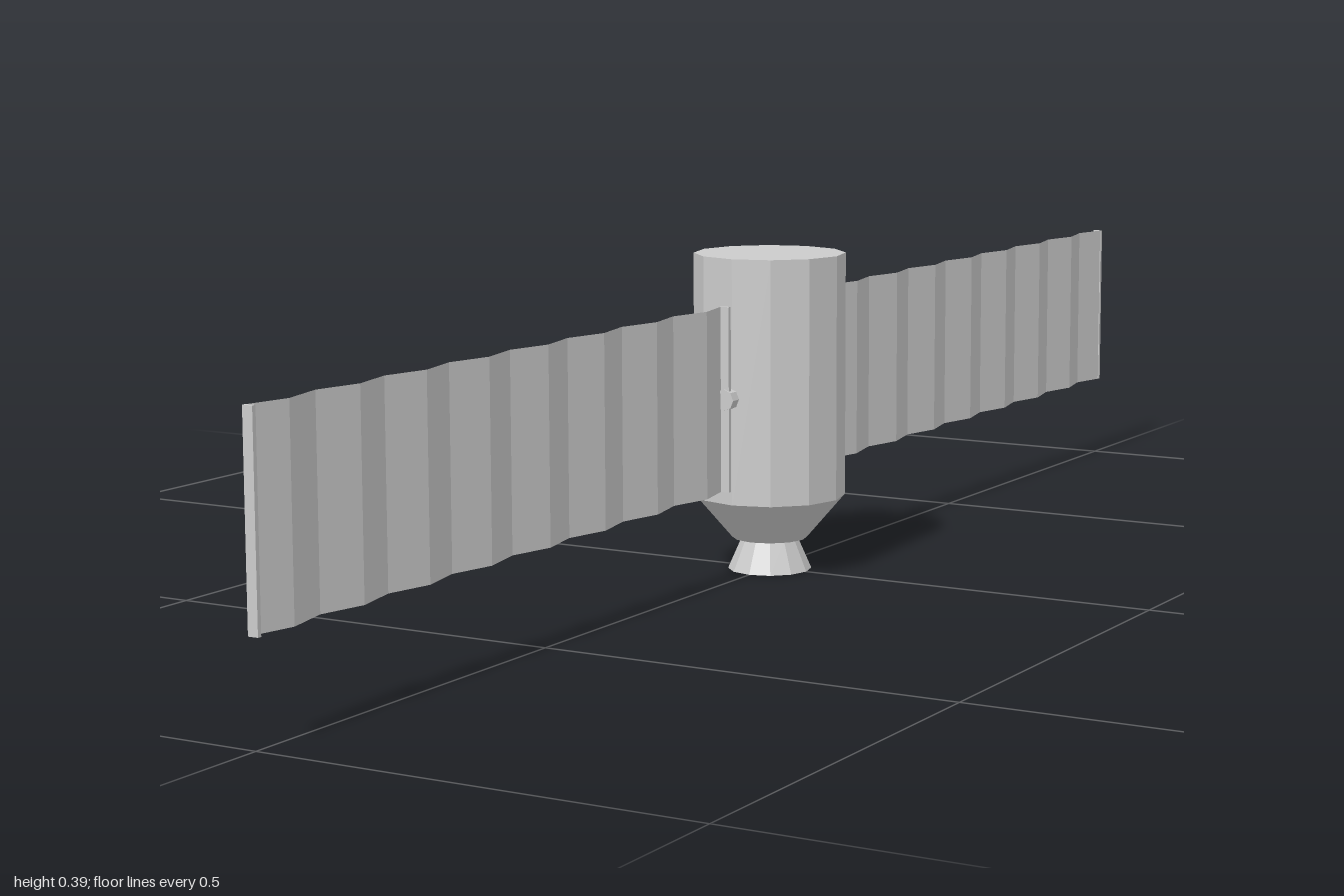
import * as THREE from 'three';

const flat = new THREE.MeshStandardMaterial({ color: 0xcccccc, flatShading: true });
const sheet = new THREE.MeshStandardMaterial({ color: 0xcccccc, flatShading: true, side: THREE.DoubleSide });

const SIDES = 12;
const MID_Y = 0.222;       // height of the panel axis
const PANEL_H = 0.222;
const INNER = 0.105, OUTER = 1;
const FOLD = 0.006;        // half depth of the panel folds
const STRIPES = 16;

function add(group, name, geometry, material, x = 0, y = 0, z = 0) {
  const mesh = new THREE.Mesh(geometry, material);
  mesh.name = name;
  mesh.position.set(x, y, z);
  group.add(mesh);
  return mesh;
}

// Frustum standing between two heights
function frustum(group, name, rTop, rBottom, y0, y1, material, open = false) {
  const g = new THREE.CylinderGeometry(rTop, rBottom, y1 - y0, SIDES, 1, open);
  return add(group, name, g, material, 0, (y0 + y1) / 2, 0);
}

// Accordion-folded sheet running along z
function foldedSheet() {
  const g = new THREE.PlaneGeometry(OUTER - INNER, PANEL_H, STRIPES, 1);
  g.rotateY(-Math.PI / 2);
  const p = g.attributes.position;
  for (let i = 0; i < p.count; i++) {
    const column = i % (STRIPES + 1);
    p.setX(i, column % 2 ? FOLD : -FOLD);
  }
  g.computeVertexNormals();
  return g;
}

// One solar wing on the +z side
function createWing() {
  const wing = new THREE.Group();
  add(wing, 'solarPanel', foldedSheet(), sheet, 0, MID_Y, (INNER + OUTER) / 2);

  // Edge bars at both ends of the sheet
  const t = 0.005;
  const bar = new THREE.BoxGeometry(2 * FOLD, PANEL_H, t);
  add(wing, 'innerBar', bar, flat, 0, MID_Y, INNER + t / 2);
  add(wing, 'outerBar', bar, flat, 0, MID_Y, OUTER - t / 2);

  // Mounting shaft and its collar
  const shaft = new THREE.CylinderGeometry(0.008, 0.008, 0.03, 8).rotateX(Math.PI / 2);
  add(wing, 'mountShaft', shaft, flat, 0, MID_Y, 0.09);
  const collar = new THREE.CylinderGeometry(0.013, 0.013, 0.014, 8).rotateX(Math.PI / 2);
  add(wing, 'mountCollar', collar, flat, 0, MID_Y, 0.105);
  return wing;
}

export function createModel() {
  const model = new THREE.Group();
  model.name = 'satellite';

  // Hull, tapered tail and hollow engine bell
  frustum(model, 'hull', 0.092, 0.092, 0.092, 0.388, flat);
  frustum(model, 'tailCone', 0.092, 0.046, 0.039, 0.092, flat);
  frustum(model, 'engineBell', 0.034, 0.051, 0, 0.039, sheet, true);

  // Wings, the rear one turned half a circle
  for (const [name, turn] of [['frontWing', 0], ['rearWing', Math.PI]]) {
    const wing = createWing();
    wing.name = name;
    wing.rotation.y = turn;
    model.add(wing);
  }
  return model;
}
